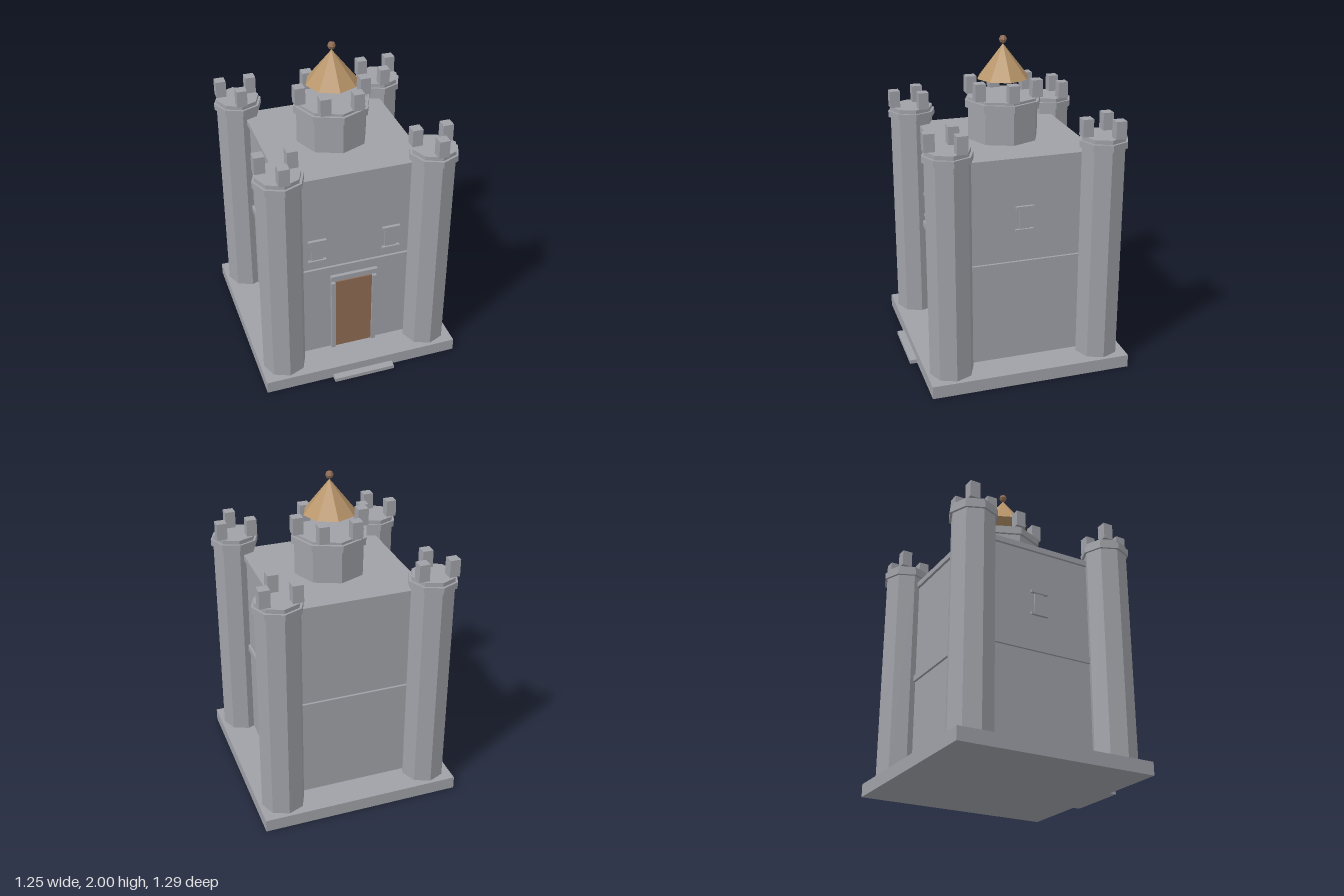
import * as THREE from 'three';

export function createModel() {
  const root = new THREE.Group();
  root.name = 'castleKeep';
  const mat = (name, color) => {
    const m = new THREE.MeshStandardMaterial({ color, flatShading: true });
    m.name = name;
    return m;
  };
  const stone = mat('stone', 0x9fa1a7);
  const wood = mat('doorWood', 0x8f6b54);
  const roofing = mat('roofTan', 0xb8956a);

  const add = (parent, name, geo, material, x, y, z) => {
    const mesh = new THREE.Mesh(geo, material);
    mesh.name = name;
    mesh.position.set(x, y, z);
    parent.add(mesh);
    return mesh;
  };
  // Box given by its centre x and z, and its bottom and top heights
  const box = (parent, name, w, y0, y1, d, x = 0, z = 0, material = stone) =>
    add(parent, name, new THREE.BoxGeometry(w, y1 - y0, d), material, x, (y0 + y1) / 2, z);
  // Eight-sided prism
  const prism = (parent, name, r, y0, y1) =>
    add(parent, name, new THREE.CylinderGeometry(r, r, y1 - y0, 8), stone, 0, (y0 + y1) / 2, 0);
  // Ring of square merlons, all aligned with the axes
  const merlons = (parent, count, r, y0, start) => {
    for (let i = 0; i < count; i++) {
      const a = start + (i / count) * Math.PI * 2;
      box(parent, 'merlon', 0.064, y0, y0 + 0.105, 0.064, r * Math.cos(a), r * Math.sin(a));
    }
  };

  // Everything but the step is centred slightly behind the origin
  const keep = new THREE.Group();
  keep.name = 'keep';
  keep.position.z = -0.0225;
  root.add(keep);

  // Plinth and doorstep
  box(keep, 'plinth', 1.245, 0, 0.08, 1.245);
  box(root, 'doorStep', 0.39, 0, 0.025, 0.12, 0, 0.585);

  // Main block with string course and roof slab
  const wall = 0.425;
  box(keep, 'mainWalls', wall * 2, 0.08, 1.345, wall * 2);
  box(keep, 'stringCourse', 0.88, 0.69, 0.73, 0.88);
  box(keep, 'roofSlab', 0.884, 1.345, 1.38, 0.884);

  // Corner towers
  for (const sx of [-1, 1]) for (const sz of [-1, 1]) {
    const tower = new THREE.Group();
    tower.name = 'cornerTower';
    tower.position.set(sx * 0.467, 0, sz * 0.467);
    prism(tower, 'towerShaft', 0.135, 0.08, 1.485);
    prism(tower, 'towerCollar', 0.15, 1.42, 1.46);
    merlons(tower, 3, 0.109, 1.485, Math.PI / 2);
    keep.add(tower);
  }

  // Central turret with floating pointed roof
  const turret = new THREE.Group();
  turret.name = 'centralTurret';
  keep.add(turret);
  prism(turret, 'turretShaft', 0.22, 1.38, 1.64);
  prism(turret, 'turretCollar', 0.238, 1.58, 1.625);
  merlons(turret, 6, 0.203, 1.64, 0);
  add(turret, 'turretRoof', new THREE.ConeGeometry(0.16, 0.205, 8), roofing, 0, 1.8475, 0);
  add(turret, 'finial', new THREE.SphereGeometry(0.025, 8, 4), wood, 0, 1.975, 0);

  // Doorway
  box(keep, 'door', 0.24, 0.08, 0.6, 0.008, 0, wall + 0.004, wood);
  for (const s of [-1, 1]) box(keep, 'doorPost', 0.027, 0.08, 0.6, 0.03, s * 0.1335, wall + 0.005);
  box(keep, 'doorLintel', 0.3, 0.62, 0.655, 0.036, 0, wall + 0.005);

  // Raised windows: panel with a head and a sill
  const window = (name, x, y, z, turn, half) => {
    const g = new THREE.Group();
    g.name = name;
    g.position.set(x, y, z);
    g.rotation.y = turn;
    box(g, 'windowPanel', half * 2, -0.07, 0.07, 0.014);
    for (const s of [-1, 1]) box(g, 'windowLedge', 0.112, s * 0.0715 - 0.008, s * 0.0715 + 0.008, 0.036);
    keep.add(g);
  };
  for (const s of [-1, 1]) {
    window('frontWindow', s * 0.234, 0.867, wall + 0.002, 0, 0.037);
    window('sideWindow', s * wall, 1.0, 0, s * Math.PI / 2, 0.03);
  }
  return root;
}
